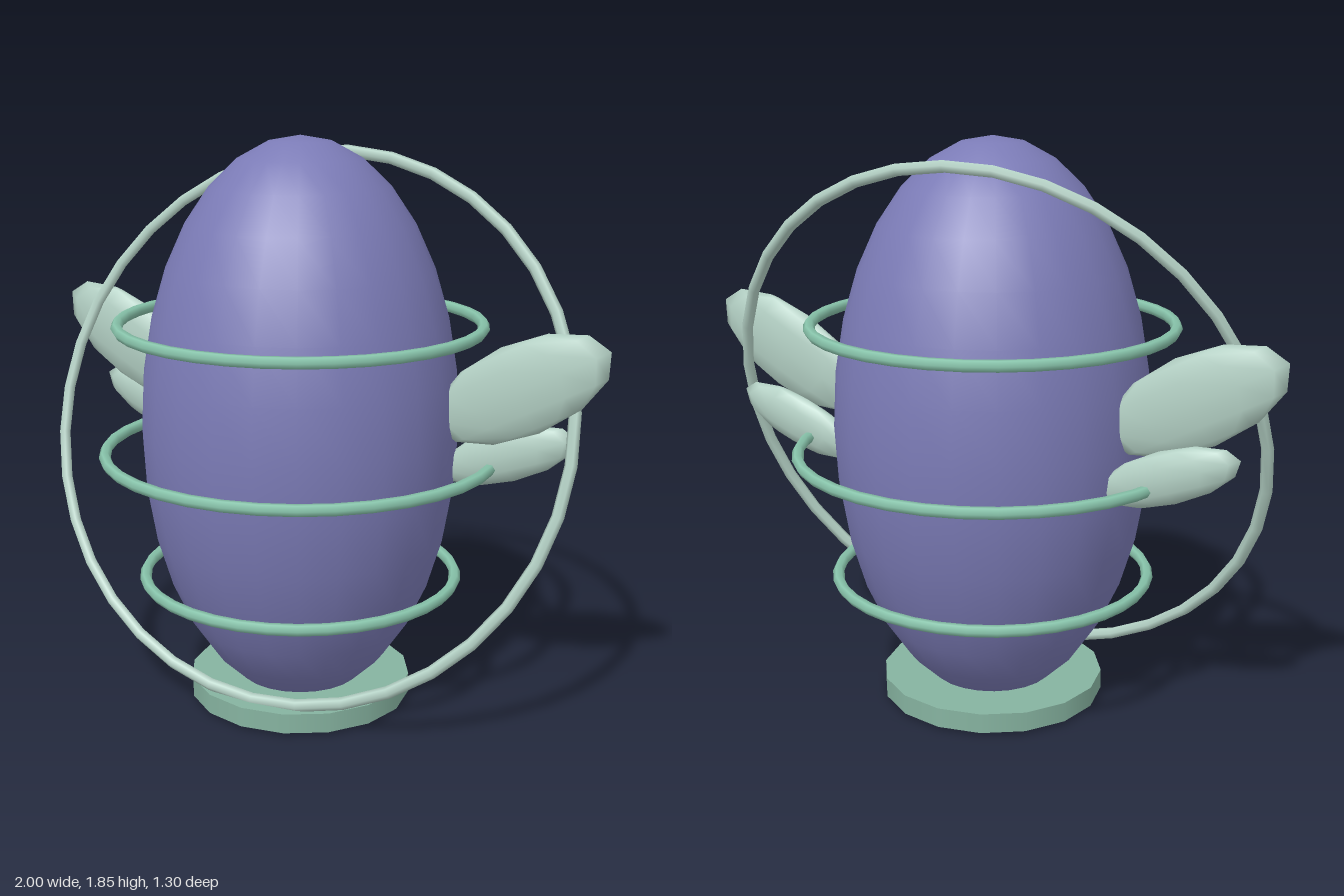
import * as THREE from 'three';

const paint = (name, color) => {
  const m = new THREE.MeshStandardMaterial({ color });
  m.name = name;
  return m;
};

export function createModel() {
  const violet = paint('violet', 0x7b7bb6);
  const mint = paint('mint', 0x88c4ab);
  const paleMint = paint('paleMint', 0xb4d1c5);
  const sage = paint('sage', 0x86b3a0);

  const model = new THREE.Group();
  model.name = 'wingedEgg';
  const add = (name, geometry, material, x, y, z) => {
    const mesh = new THREE.Mesh(geometry, material);
    mesh.name = name;
    mesh.position.set(x, y, z);
    model.add(mesh);
    return mesh;
  };

  // Tall egg body, its tip poking just through the base
  const body = new THREE.SphereGeometry(1, 24, 16).scale(0.513, 0.925, 0.513);
  add('eggBody', body, violet, 0, 0.935, 0);

  // Round foot
  add('base', new THREE.CylinderGeometry(0.367, 0.367, 0.065, 16), sage, 0, 0.0525, 0);

  // Level hoops around the body: [name, radius, height]
  for (const [name, radius, y] of [
    ['lowerHoop', 0.512, 0.435],
    ['middleHoop', 0.632, 0.852],
    ['upperHoop', 0.582, 1.27],
  ]) {
    const hoop = new THREE.TorusGeometry(radius, 0.019, 6, 36).rotateX(Math.PI / 2);
    add(name, hoop, mint, 0, y, 0);
  }

  // Large leaning orbit ring
  const orbit = add('orbitRing', new THREE.TorusGeometry(0.903, 0.02, 6, 36), paleMint, 0, 0.94, 0);
  orbit.rotation.set(-0.34, 0.08, 0);

  // Two flat, faceted wings on each side
  for (const side of [1, -1]) {
    const label = side > 0 ? 'left' : 'right';
    const upper = new THREE.SphereGeometry(1, 12, 6).scale(0.315, 0.142, 0.045);
    add(label + 'UpperWing', upper, paleMint, side * 0.722, 1.122, -0.085).rotation.z = side * 0.49;
    const lower = new THREE.SphereGeometry(1, 12, 6).scale(0.24, 0.083, 0.04);
    add(label + 'LowerWing', lower, paleMint, side * 0.663, 0.895, -0.138).rotation.z = side * 0.36;
  }

  return model;
}
